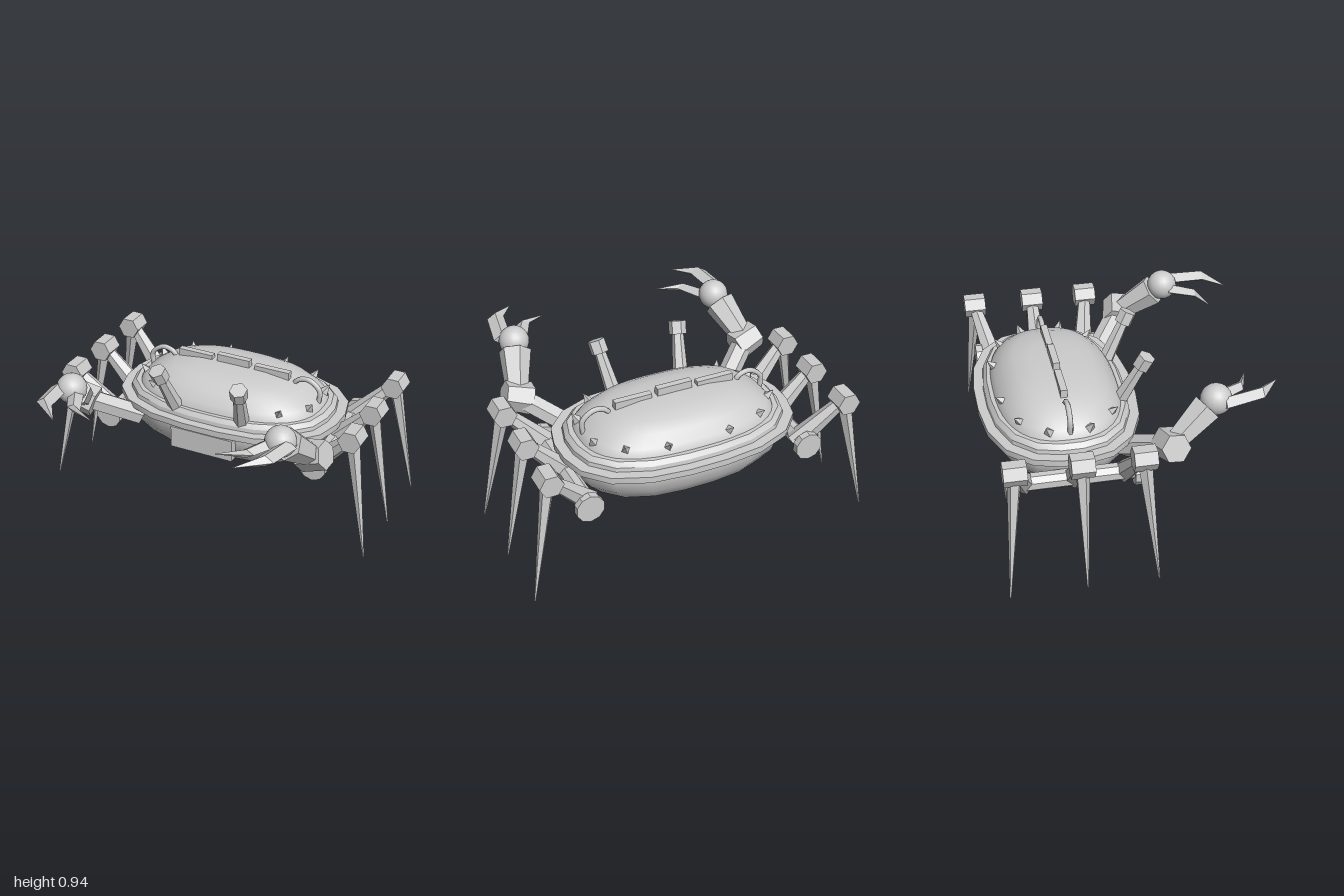
import * as THREE from 'three';
import { toCreasedNormals } from 'three/addons/utils/BufferGeometryUtils.js';
import { ConvexGeometry } from 'three/addons/geometries/ConvexGeometry.js';

const grey = new THREE.MeshStandardMaterial({ color: 0xcccccc });
grey.name = 'shell grey';
const V = (x, y, z) => new THREE.Vector3(x, y, z);
const UP = V(0, 1, 0);
const CZ = -0.345; // centre of the body along z

function add(parent, name, geo) {
  const mesh = new THREE.Mesh(geo, grey);
  mesh.name = name;
  parent.add(mesh);
  return mesh;
}

// Faceted tapered bar from a to b
function bar(parent, name, a, b, ra, rb, sides, spin = 0) {
  const dir = b.clone().sub(a);
  const geo = new THREE.CylinderGeometry(rb, ra, dir.length(), sides);
  geo.rotateY(spin);
  const mesh = add(parent, name, toCreasedNormals(geo, 0.1));
  mesh.position.copy(a).add(b).multiplyScalar(0.5);
  mesh.quaternion.setFromUnitVectors(UP, dir.normalize());
  return mesh;
}

function box(parent, name, w, h, d, x, y, z) {
  add(parent, name, new THREE.BoxGeometry(w, h, d)).position.set(x, y, z);
}

// Rounded-oblong outline of unit half sizes
function oblong(n) {
  return Array.from({ length: n }, (_, i) => {
    const a = ((i + 0.5) / n) * Math.PI * 2, c = Math.cos(a), s = Math.sin(a);
    const k = Math.pow(Math.abs(c) ** 2.6 + Math.abs(s) ** 2.6, -1 / 2.6);
    return [c * k, s * k];
  });
}

// Closed shell through sections [halfX, halfZ, y], listed from bottom to top
function shell(sections, n, crease) {
  const pos = [], idx = [], outline = oblong(n);
  for (const [hx, hz, y] of sections)
    for (const [x, z] of outline) pos.push(x * hx, y, CZ + z * hz);
  for (let r = 0; r < sections.length - 1; r++)
    for (let i = 0; i < n; i++) {
      const j = (i + 1) % n, a = r * n + i, b = r * n + j, c = a + n, d = b + n;
      idx.push(a, c, d, a, d, b);
    }
  const geo = new THREE.BufferGeometry();
  geo.setAttribute('position', new THREE.Float32BufferAttribute(pos, 3));
  geo.setIndex(idx);
  return toCreasedNormals(geo, crease);
}

// Bent claw finger: diamond sections [centre, halfWidth, halfHeight], ending in a point
function finger(parent, name, base, mid, tip) {
  const diamond = ([c, w, h]) => [V(w, 0, 0), V(-w, 0, 0), V(0, h, 0), V(0, -h, 0)].map(p => p.add(c));
  add(parent, name + 'Base', new ConvexGeometry([...diamond(base), ...diamond(mid)]));
  add(parent, name + 'Tip', new ConvexGeometry([...diamond(mid), tip]));
}

export function createModel() {
  const model = new THREE.Group();
  model.name = 'mechanicalCrab';

  // Body: hull, rim and domed back
  add(model, 'hull', shell([
    [0.001, 0.001, 0.316], [0.315, 0.205, 0.316], [0.53, 0.33, 0.38],
    [0.6, 0.375, 0.45], [0.625, 0.395, 0.52], [0.63, 0.395, 0.58], [0.001, 0.001, 0.58],
  ], 20, 0.75));
  add(model, 'rim', shell([
    [0.001, 0.001, 0.565], [0.675, 0.445, 0.565], [0.675, 0.445, 0.602], [0.001, 0.001, 0.602],
  ], 20, 0.5));
  add(model, 'collar', shell([
    [0.62, 0.395, 0.59], [0.615, 0.39, 0.625], [0.59, 0.37, 0.65], [0.001, 0.001, 0.65],
  ], 20, 0.4));
  add(model, 'dome', shell([
    [0.565, 0.352, 0.63], [0.555, 0.343, 0.66], [0.53, 0.325, 0.69], [0.45, 0.275, 0.745],
    [0.36, 0.215, 0.78], [0.2, 0.13, 0.8], [0.001, 0.001, 0.802],
  ], 48, 0.7));

  // Front plate and crest along the back
  box(model, 'frontPlate', 0.385, 0.13, 0.05, 0, 0.488, 0.06);
  box(model, 'crestMiddle', 0.205, 0.06, 0.038, 0, 0.815, CZ);
  for (const s of [-1, 1]) box(model, 'crestSide', 0.215, 0.06, 0.038, s * 0.243, 0.796, CZ);

  for (const s of [-1, 1]) {
    const side = new THREE.Group();
    side.name = s > 0 ? 'leftSide' : 'rightSide';
    model.add(side);
    const P = (x, y, z) => V(s * x, y, z);

    // Arched handle on the dome
    const arch = new THREE.CatmullRomCurve3([
      P(0.53, 0.66, CZ), P(0.535, 0.75, CZ), P(0.465, 0.803, CZ), P(0.395, 0.785, CZ), P(0.372, 0.74, CZ)]);
    add(side, 'handle', new THREE.TubeGeometry(arch, 16, 0.015, 6));

    // Spikes around the dome
    for (const [x, z, y] of [[0.18, -0.66, 0.69], [0.395, -0.595, 0.69], [0.52, -0.46, 0.69],
      [0.52, -0.235, 0.69], [0.395, -0.095, 0.69]]) {
      const out = V(s * x * 0.35, 0.28, z - CZ).normalize();
      const p = P(x, y, z);
      bar(side, 'spike', p.clone().addScaledVector(out, -0.015), p.clone().addScaledVector(out, 0.05), 0.032, 0.001, 4);
    }

    // Eye stalk
    const foot = P(0.205, 0.62, -0.02), neck = P(0.243, 0.87, 0.105);
    const axis = neck.clone().sub(foot).normalize();
    bar(side, 'eyeStalk', foot, neck, 0.046, 0.032, 6);
    bar(side, 'eye', neck.clone().addScaledVector(axis, -0.02), neck.clone().addScaledVector(axis, 0.055), 0.05, 0.05, 6);

    // Hip axle with end discs
    bar(side, 'hipAxle', P(0.645, 0.47, -0.7), P(0.645, 0.47, 0), 0.05, 0.05, 8, Math.PI / 8);
    for (const z of [-0.72, -0.03])
      bar(side, 'hipDisc', P(0.65, 0.47, z), P(0.65, 0.47, z + 0.04), 0.08, 0.08, 10);

    // Walking legs: z of hip, knee and toe
    for (const [hip, knee, toe] of [[-0.075, -0.018, 0.043], [CZ, -0.343, -0.343], [-0.615, -0.69, -0.755]]) {
      bar(side, 'thigh', P(0.62, 0.45, hip), P(0.86, 0.7, knee), 0.062, 0.036, 6, Math.PI / 6);
      bar(side, 'knee', P(0.868, 0.705, knee - 0.062), P(0.868, 0.705, knee + 0.062), 0.067, 0.067, 6, Math.PI / 6);
      bar(side, 'shin', P(0.87, 0.69, knee), P(0.995, 0, toe), 0.04, 0.005, 5);
    }

    // Claw arm
    const elbow = P(0.715, 0.655, 0.165), wrist = P(0.63, 0.855, 0.415);
    bar(side, 'upperArm', P(0.46, 0.5, -0.04), elbow, 0.062, 0.062, 6);
    bar(side, 'elbow', P(0.645, 0.63, 0.15), P(0.79, 0.68, 0.17), 0.092, 0.082, 6);
    bar(side, 'forearm', elbow, P(0.645, 0.818, 0.365), 0.06, 0.092, 6);
    add(side, 'wrist', new THREE.SphereGeometry(0.086, 20, 14)).position.copy(wrist);
    finger(side, 'outerFinger', [P(0.685, 0.86, 0.45), 0.052, 0.035],
      [P(0.652, 0.878, 0.66), 0.05, 0.032], P(0.52, 0.865, 0.78));
    finger(side, 'innerFinger', [P(0.59, 0.845, 0.44), 0.05, 0.032],
      [P(0.515, 0.842, 0.585), 0.042, 0.025], P(0.357, 0.832, 0.65));
  }
  return model;
}
